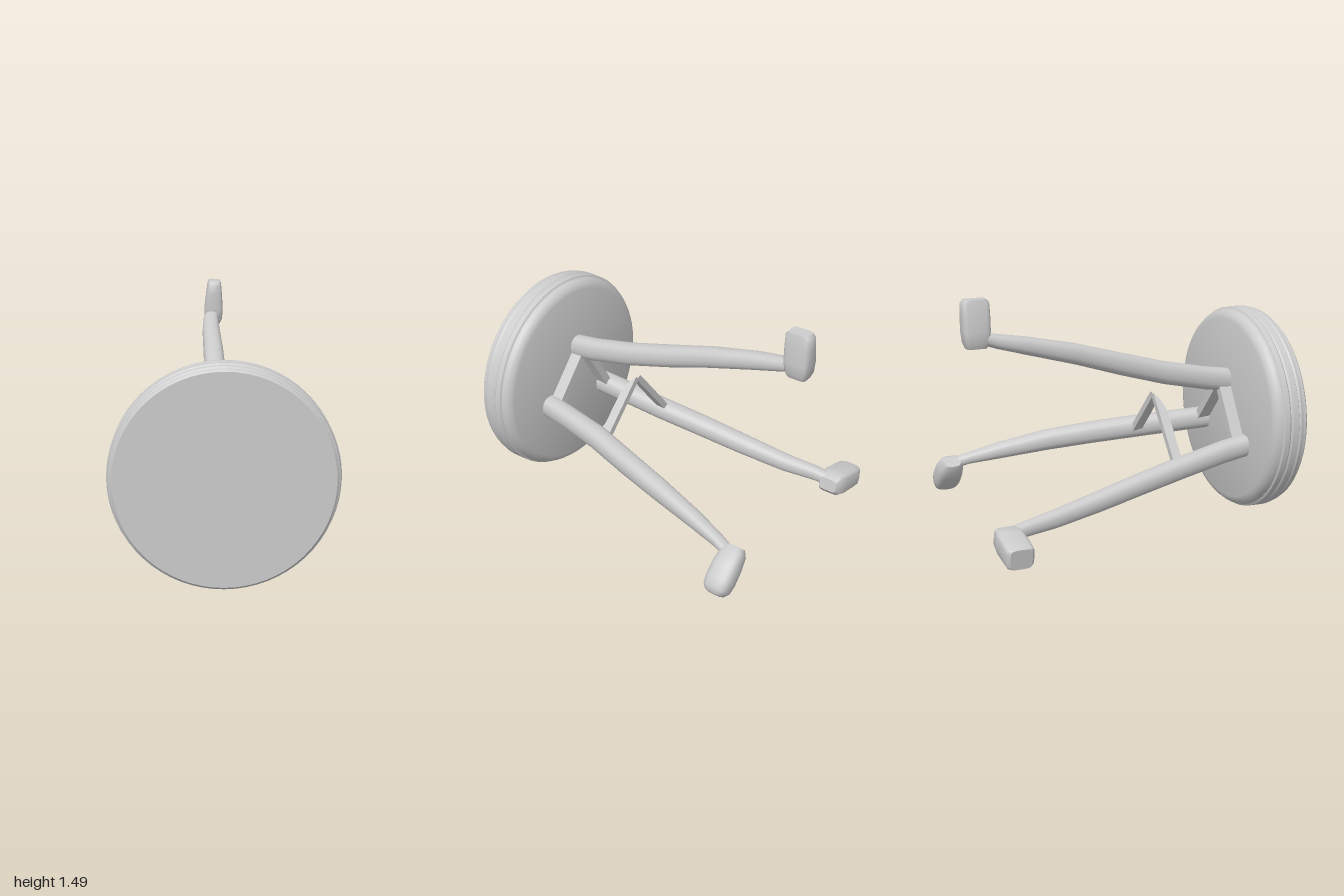
import * as THREE from 'three';
import { toCreasedNormals } from 'three/addons/utils/BufferGeometryUtils.js';

const material = new THREE.MeshStandardMaterial({ color: 0xcccccc, side: THREE.DoubleSide });
const V = (x, y, z) => new THREE.Vector3(x, y, z);

function add(parent, name, geometry) {
  const mesh = new THREE.Mesh(geometry, material);
  mesh.name = name;
  parent.add(mesh);
  return mesh;
}

// Skin through superellipse sections [centre, halfU, halfV]; U x V points along the travel.
function loft(sections, U, W, power, sides = 20) {
  const pos = [], index = [];
  const soft = (c) => Math.sign(c) * Math.abs(c) ** (2 / power);
  for (const [c, a, b] of sections) {
    for (let i = 0; i < sides; i++) {
      const t = (i / sides) * Math.PI * 2;
      const p = c.clone().addScaledVector(U, a * soft(Math.cos(t))).addScaledVector(W, b * soft(Math.sin(t)));
      pos.push(p.x, p.y, p.z);
    }
  }
  const last = sections.length - 1;
  for (let s = 0; s < last; s++) {
    for (let i = 0; i < sides; i++) {
      const j = (i + 1) % sides, a = s * sides + i, b = s * sides + j;
      index.push(a, b, b + sides, a, b + sides, a + sides);
    }
  }
  // end caps
  const first = pos.length / 3;
  for (const s of [0, last]) pos.push(...sections[s][0].toArray());
  for (let i = 0; i < sides; i++) {
    const j = (i + 1) % sides;
    index.push(first, j, i, first + 1, last * sides + i, last * sides + j);
  }
  const g = new THREE.BufferGeometry();
  g.setAttribute('position', new THREE.Float32BufferAttribute(pos, 3));
  g.setIndex(index);
  return toCreasedNormals(g, 0.7);
}

// Leg running backwards from the seat; rows are x, y, z, half width, half height.
function leg(parent, name, rows) {
  const sections = rows.map(([x, y, z, a, b]) => [V(x, y, z), a, b]);
  add(parent, name, loft(sections, V(1, 0, 0), V(0, -1, 0), 2.4));
}

// Foot from point a to b in the z = -0.915 plane; rows are position 0..1, half width, half depth.
function foot(parent, name, a, b, rows, power) {
  const p = V(a[0], a[1], -0.915), q = V(b[0], b[1], -0.915);
  const d = q.clone().sub(p).normalize();
  const sections = rows.map(([t, u, w]) => [p.clone().lerp(q, t), u, w]);
  add(parent, name, loft(sections, V(-d.y, d.x, 0), V(0, 0, 1), power));
}

// Flat bar between two xy points, its side profile given as [distance 0..1, z] corners.
function bar(parent, name, a, b, thickness, profile) {
  const dx = b[0] - a[0], dy = b[1] - a[1], length = Math.hypot(dx, dy);
  const shape = new THREE.Shape(profile.map(([t, z]) => new THREE.Vector2(t * length, z)));
  const g = new THREE.ExtrudeGeometry(shape, { depth: thickness, bevelEnabled: false });
  g.translate(0, 0, -thickness / 2);
  const X = V(dx / length, dy / length, 0), Z = V(0, 0, 1);
  g.applyMatrix4(new THREE.Matrix4().makeBasis(X, Z, X.clone().cross(Z)));
  g.translate(a[0], a[1], 0);
  add(parent, name, g);
}

export function createModel() {
  const model = new THREE.Group();
  model.name = 'stool';

  // Round seat with a banded rim, its axis along z
  const rim = [[0, 0.765], [0.585, 0.765], [0.615, 0.775], [0.635, 0.8], [0.64, 0.825], [0.652, 0.832],
    [0.654, 0.865], [0.646, 0.875], [0.654, 0.885], [0.655, 0.925], [0.644, 0.933], [0.65, 0.945],
    [0.645, 0.965], [0.634, 0.972], [0.634, 0.988], [0.622, 1], [0, 1]];
  const seat = new THREE.LatheGeometry(rim.map(([r, y]) => new THREE.Vector2(r, y)), 64);
  seat.rotateX(Math.PI / 2);
  seat.translate(-0.012, 0.654, 0);
  add(model, 'seat', toCreasedNormals(seat, 0.6));

  // Three splayed legs
  leg(model, 'upperLeg', [[-0.035, 0.845, 0.8, 0.062, 0.075], [-0.035, 0.875, 0.6, 0.062, 0.075],
    [-0.04, 0.94, 0.3, 0.066, 0.074], [-0.045, 1.025, 0, 0.067, 0.072], [-0.052, 1.115, -0.3, 0.064, 0.066],
    [-0.062, 1.19, -0.6, 0.058, 0.056], [-0.062, 1.235, -0.8, 0.05, 0.044], [-0.05, 1.265, -0.9, 0.045, 0.04]]);
  leg(model, 'leftLeg', [[0.25, 0.53, 0.8, 0.068, 0.07], [0.275, 0.52, 0.6, 0.068, 0.07],
    [0.325, 0.5, 0.3, 0.072, 0.071], [0.4, 0.47, 0, 0.07, 0.07], [0.465, 0.435, -0.3, 0.064, 0.066],
    [0.52, 0.385, -0.6, 0.053, 0.052], [0.56, 0.345, -0.8, 0.043, 0.036], [0.585, 0.315, -0.9, 0.04, 0.036]]);
  leg(model, 'rightLeg', [[-0.275, 0.475, 0.8, 0.068, 0.07], [-0.295, 0.45, 0.6, 0.068, 0.07],
    [-0.335, 0.4, 0.3, 0.07, 0.068], [-0.385, 0.35, 0, 0.068, 0.066], [-0.435, 0.295, -0.3, 0.062, 0.062],
    [-0.485, 0.245, -0.6, 0.052, 0.054], [-0.525, 0.225, -0.8, 0.043, 0.045], [-0.54, 0.21, -0.9, 0.04, 0.04]]);

  // Feet turned outwards
  foot(model, 'upperFoot', [-0.045, 1.2], [-0.036, 1.49],
    [[0, 0.045, 0.06], [0.12, 0.06, 0.075], [0.35, 0.063, 0.083], [0.7, 0.054, 0.084],
      [0.93, 0.046, 0.082], [1, 0.041, 0.065]], 5);
  foot(model, 'leftFoot', [0.54, 0.34], [0.755, 0.13],
    [[0, 0.038, 0.055], [0.12, 0.062, 0.075], [0.4, 0.074, 0.084], [0.7, 0.076, 0.085],
      [0.88, 0.066, 0.078], [0.97, 0.045, 0.058], [1, 0.025, 0.035]], 3);
  foot(model, 'rightFoot', [-0.49, 0.2], [-0.775, 0.145],
    [[0, 0.04, 0.06], [0.1, 0.065, 0.076], [0.35, 0.073, 0.084], [0.75, 0.069, 0.084],
      [0.94, 0.066, 0.082], [1, 0.063, 0.066]], 5);

  // Rails against the seat and the curved braces lower down, from each lower leg to the upper leg
  const rail = [[0, 0.685], [1, 0.685], [1, 0.78], [0, 0.78]];
  const brace = [[0, 0.24], [1, 0.24], [0.93, 0.262], [0.84, 0.285], [0.72, 0.297], [0.5, 0.3], [0, 0.3]];
  bar(model, 'leftRail', [0.24, 0.53], [-0.01, 0.82], 0.05, rail);
  bar(model, 'rightRail', [-0.27, 0.47], [-0.06, 0.82], 0.05, rail);
  bar(model, 'leftBrace', [0.29, 0.49], [-0.01, 0.8], 0.04, brace);
  bar(model, 'rightBrace', [-0.32, 0.43], [-0.02, 0.8], 0.04, brace);

  return model;
}
